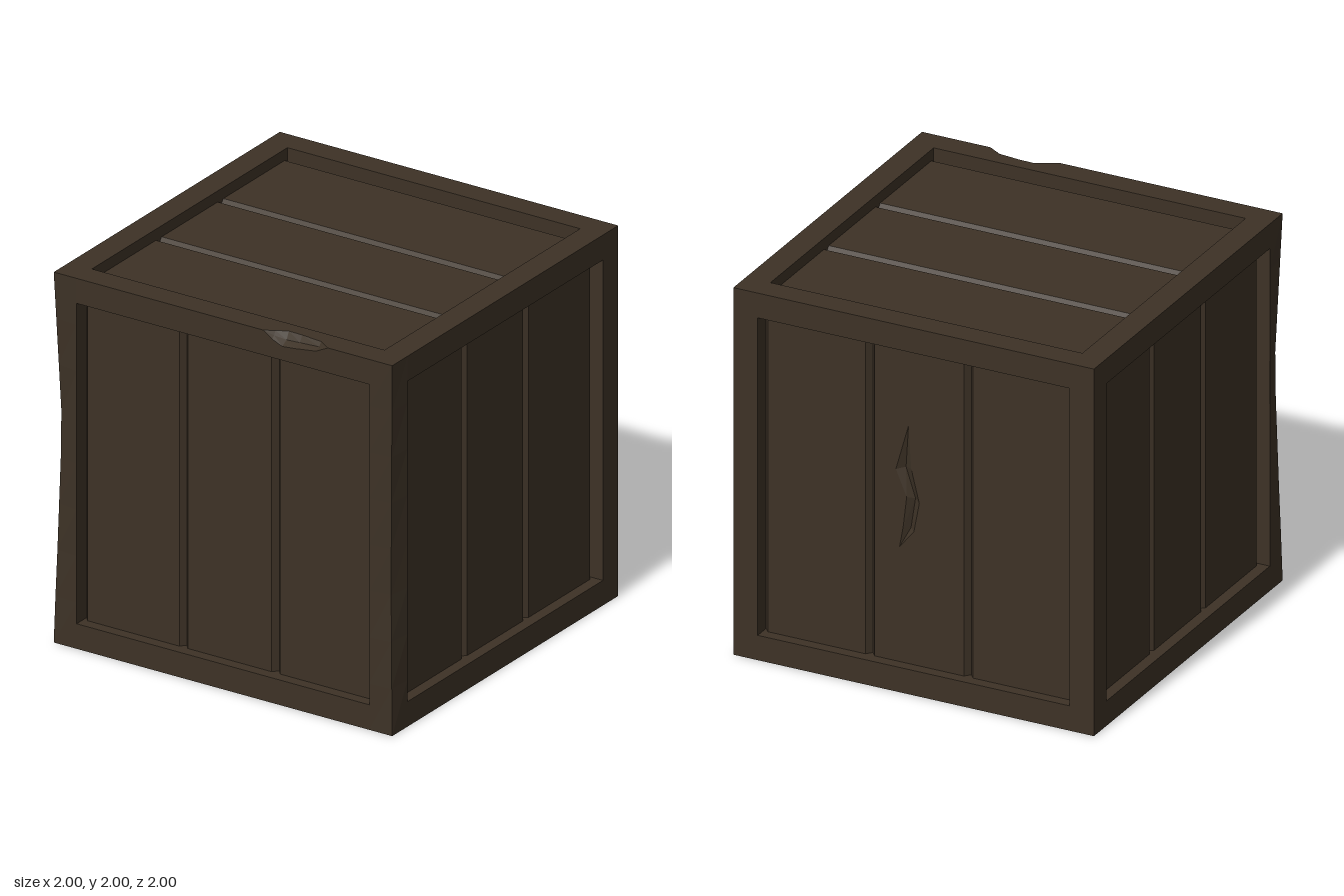
import * as THREE from 'three';

const F = 0.135;          // frame beam thickness
const IN = 1 - F;         // inner edge of the frame
const FACE = 0.94;        // plank face, set back from the frame
const GROOVE = 0.91;      // bottom of the grooves between planks
const CH = 0.025;         // plank chamfer width

const wood = new THREE.MeshStandardMaterial({ color: 0x3d3226 });
wood.name = 'darkWood';

function add(parent, name, geometry, x = 0, y = 0, z = 0) {
  const mesh = new THREE.Mesh(geometry, wood);
  mesh.name = name;
  mesh.position.set(x, y, z);
  parent.add(mesh);
  return mesh;
}

function flat(geometry) {
  const g = geometry.index ? geometry.toNonIndexed() : geometry;
  g.computeVertexNormals();
  return g;
}

function fromLoops(positions, indices) {
  const g = new THREE.BufferGeometry();
  g.setAttribute('position', new THREE.Float32BufferAttribute(positions, 3));
  g.setIndex(indices);
  return flat(g);
}

// Corner post whose outer edge is worn inward by the given amounts, top to bottom
function postGeometry(sx, sz, wear) {
  const g = new THREE.BoxGeometry(F, 2, F, 1, 8, 1);
  const p = g.attributes.position;
  for (let i = 0; i < p.count; i++) {
    if (p.getX(i) * sx > 0 && p.getZ(i) * sz > 0) {
      const d = wear[Math.round((1 - p.getY(i)) * 4)];
      p.setX(i, p.getX(i) - sx * d);
      p.setZ(i, p.getZ(i) - sz * d);
    }
  }
  return flat(g);
}

// Front top beam: five-sided sections, with a chip broken out of the outer edge
function chippedBeamGeometry() {
  // x, drop on the front, cut on the top
  const stations = [[-IN, 0, 0], [0.24, 0, 0], [0.29, 0.035, 0.03], [0.35, 0.06, 0.06],
    [0.43, 0.052, 0.058], [0.55, 0.035, 0.045], [0.62, 0, 0], [IN, 0, 0]];
  const pos = [], idx = [];
  stations.forEach(([x, a, b], s) => {
    const section = [[IN, IN], [IN, 1], [1 - a, 1], [1 - a * 0.65, 1 - b * 0.65], [1, 1 - b], [1, IN]];
    section.forEach(([y, z]) => pos.push(x, y, z));
    if (s === 0) return;
    for (let k = 0; k < 6; k++) {
      const p = (s - 1) * 6 + k, q = (s - 1) * 6 + (k + 1) % 6;
      idx.push(p, p + 6, q, q, p + 6, q + 6);
    }
  });
  return fromLoops(pos, idx);
}

// Upright prism from an (x, z) outline
function prism(points) {
  const shape = new THREE.Shape(points.map(([x, z]) => new THREE.Vector2(x, -z)));
  const g = new THREE.ExtrudeGeometry(shape, { depth: 2 * IN, bevelEnabled: false });
  return g.rotateX(-Math.PI / 2).translate(0, -IN, 0);
}

function plankGeometry(x0, x1) {
  return prism([[x0, 0.86], [x1, 0.86], [x1, GROOVE], [x1 - CH, FACE], [x0 + CH, FACE], [x0, GROOVE]]);
}

// Plank with a long split in its face
function addCrackedPlank(parent, x0, x1) {
  const a = x0 + CH, b = x1 - CH;
  add(parent, 'crackedPlankBase', prism([[x0, 0.86], [x1, 0.86], [x1, GROOVE], [x0, GROOVE]]));
  add(parent, 'crackedPlankEdge', prism([[x0, GROOVE], [a, GROOVE], [a, FACE]]));
  add(parent, 'crackedPlankEdge', prism([[b, GROOVE], [x1, GROOVE], [b, FACE]]));

  const left = [[-0.06, 0.43], [-0.13, 0.18], [-0.07, 0.04], [-0.09, -0.13], [-0.11, -0.24]];
  const right = [[-0.06, 0.43], [-0.045, 0.2], [0, 0.02], [-0.03, -0.14], [-0.11, -0.24]];
  const v = (list) => list.map(([x, y]) => new THREE.Vector2(x, y));
  const face = new THREE.Shape(v([[a, -IN], [b, -IN], [b, IN], [a, IN]]));
  face.holes.push(new THREE.Path(v([...left, ...right.slice(1, -1).reverse()])));
  add(parent, 'crackedPlankFace',
    new THREE.ExtrudeGeometry(face, { depth: FACE - GROOVE, bevelEnabled: false }), 0, 0, GROOVE);

  // V-shaped walls inside the split
  const pos = [], idx = [];
  left.forEach(([lx, ly], i) => {
    const [rx, ry] = right[i];
    const deep = i === 0 || i === 4 ? FACE : GROOVE + 0.003;
    pos.push(lx, ly, FACE, (lx + rx) / 2, (ly + ry) / 2, deep, rx, ry, FACE);
    if (i === 0) return;
    for (let k = 0; k < 2; k++) {
      const t = (i - 1) * 3 + k;
      idx.push(t, t + 3, t + 1, t + 1, t + 3, t + 4);
    }
  });
  add(parent, 'crackWalls', fromLoops(pos, idx));
}

// Three planks filling one side, facing +z
function makePanel(name, cracked) {
  const panel = new THREE.Group();
  panel.name = name;
  const cuts = [-IN, -0.273, 0.273, IN];
  for (let i = 0; i < 3; i++) {
    if (cracked && i === 1) addCrackedPlank(panel, cuts[i], cuts[i + 1]);
    else add(panel, 'plank', plankGeometry(cuts[i], cuts[i + 1]));
  }
  return panel;
}

export function createModel() {
  const crate = new THREE.Group();
  crate.name = 'crate';
  const body = new THREE.Group();
  body.name = 'crateBody';
  body.position.y = 1;
  crate.add(body);

  // Frame
  const c = 1 - F / 2;
  const none = new Array(9).fill(0);
  const wearRight = [0, 0.009, 0.018, 0.027, 0.025, 0.019, 0.013, 0.006, 0];
  const wearLeft = [0, 0.004, 0.008, 0.012, 0.016, 0.018, 0.013, 0.007, 0];
  for (const s of [-1, 1]) {
    for (const t of [-1, 1]) {
      const wear = t < 0 ? none : s < 0 ? wearRight : wearLeft;
      add(body, 'cornerPost', postGeometry(s, t, wear), s * c, 0, t * c);
      add(body, 'sideBeam', new THREE.BoxGeometry(F, F, 2 * IN), s * c, t * c, 0);
      if (s > 0 && t > 0) add(body, 'chippedBeam', chippedBeamGeometry());
      else add(body, 'crossBeam', new THREE.BoxGeometry(2 * IN, F, F), 0, s * c, t * c);
    }
  }

  // Upright planks on the four walls
  ['frontPanel', 'leftPanel', 'backPanel', 'rightPanel'].forEach((name, i) => {
    const panel = makePanel(name, i === 2);
    panel.rotation.y = i * Math.PI / 2;
    body.add(panel);
  });

  // Planks running across on the lid and the base
  for (const s of [-1, 1]) {
    const panel = makePanel(s > 0 ? 'lidPanel' : 'basePanel', false);
    panel.rotation.set(-s * Math.PI / 2, 0, Math.PI / 2);
    body.add(panel);
  }
  return crate;
}
